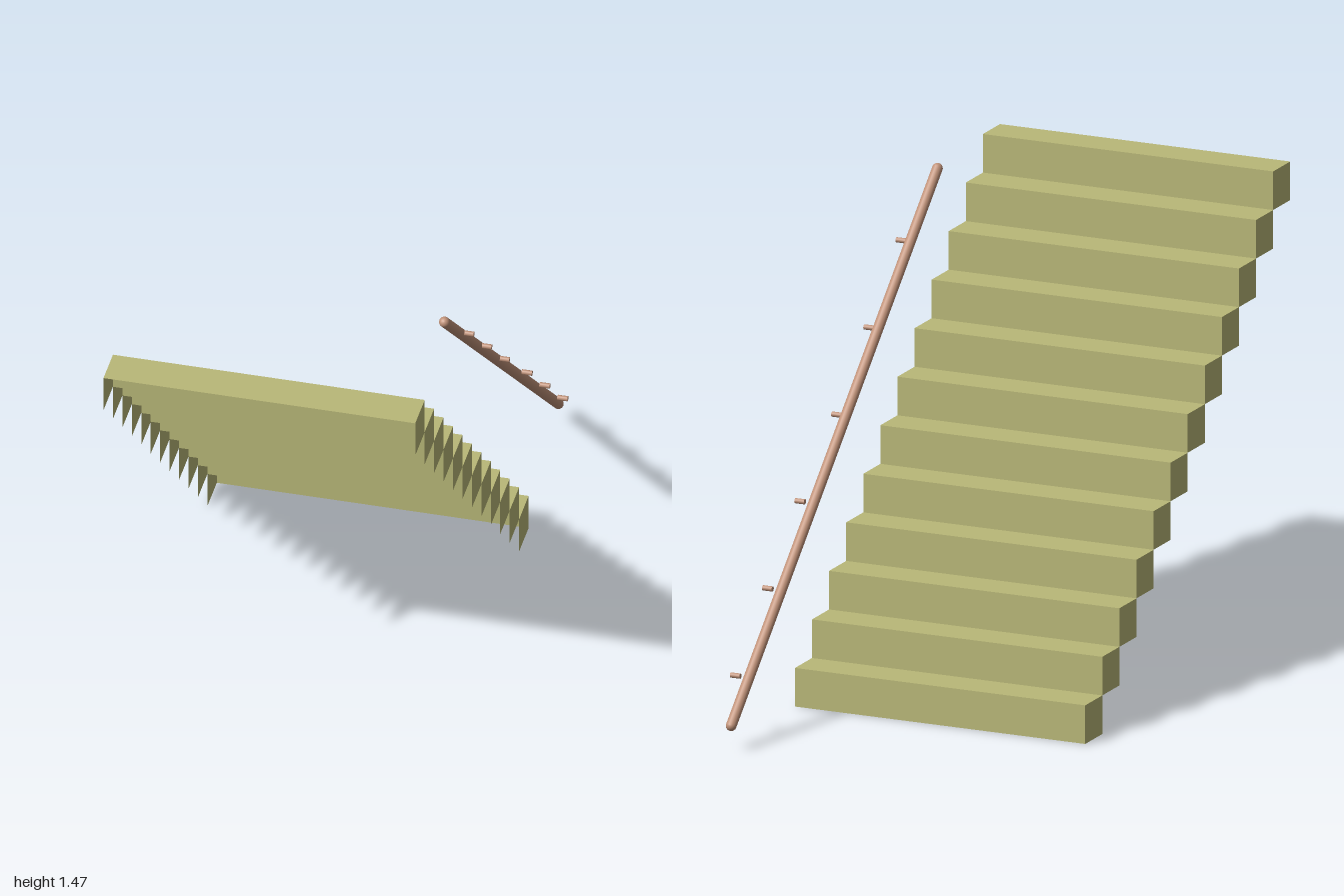
import * as THREE from 'three';

const STEPS = 12;
const SIZE = 1.456 / STEPS; // rise and run of each step
const X0 = -0.5, X1 = 0.47; // stair width
const Z0 = -0.456; // riser of the lowest step

const stepMaterial = new THREE.MeshStandardMaterial({ color: 0xb9b878, side: THREE.DoubleSide });
const railMaterial = new THREE.MeshStandardMaterial({ color: 0xc09279 });

function panel(name, width, height) {
  const mesh = new THREE.Mesh(new THREE.PlaneGeometry(width, height), stepMaterial);
  mesh.name = name;
  return mesh;
}

// One hollow step: tread, riser and two ends, open underneath and behind
function createStep() {
  const step = new THREE.Group();
  const width = X1 - X0, h = SIZE / 2;
  const tread = panel('tread', width, SIZE);
  tread.rotation.x = -Math.PI / 2;
  tread.position.y = h;
  const riser = panel('riser', width, SIZE);
  riser.rotation.y = Math.PI;
  riser.position.z = -h;
  step.add(tread, riser);
  for (const side of [-1, 1]) {
    const end = panel(side > 0 ? 'leftEnd' : 'rightEnd', SIZE, SIZE);
    end.rotation.y = side * Math.PI / 2;
    end.position.x = side * width / 2;
    step.add(end);
  }
  return step;
}

export function createModel() {
  const model = new THREE.Group();
  model.name = 'staircase';

  // Flight climbing towards +z
  const flight = new THREE.Group();
  flight.name = 'steps';
  for (let i = 0; i < STEPS; i++) {
    const step = createStep();
    step.name = `step${i + 1}`;
    step.position.set((X0 + X1) / 2, (i + 0.5) * SIZE, Z0 + (i + 0.5) * SIZE);
    flight.add(step);
  }
  model.add(flight);

  // Sloping round handrail with rounded tips
  const radius = 0.0165;
  const low = new THREE.Vector3(0.435, 0.08, -0.983);
  const high = new THREE.Vector3(0.435, 1.455, 0.481);
  const along = high.clone().sub(low);
  const rail = new THREE.Mesh(new THREE.CapsuleGeometry(radius, along.length(), 5, 20), railMaterial);
  rail.name = 'handrail';
  rail.position.copy(low).add(high).multiplyScalar(0.5);
  rail.quaternion.setFromUnitVectors(new THREE.Vector3(0, 1, 0), along.normalize());
  model.add(rail);

  // Short wall pegs beside the rail; the lower three sit further out
  const pegGeometry = new THREE.CylinderGeometry(0.008, 0.008, 0.032, 14).rotateZ(Math.PI / 2);
  for (let i = 0; i < 6; i++) {
    const peg = new THREE.Mesh(pegGeometry, railMaterial);
    peg.name = `railPeg${i + 1}`;
    peg.position.set(i < 3 ? 0.479 : 0.464, 0.2 + i * 0.215, -0.858 + i * 0.229);
    model.add(peg);
  }
  return model;
}
